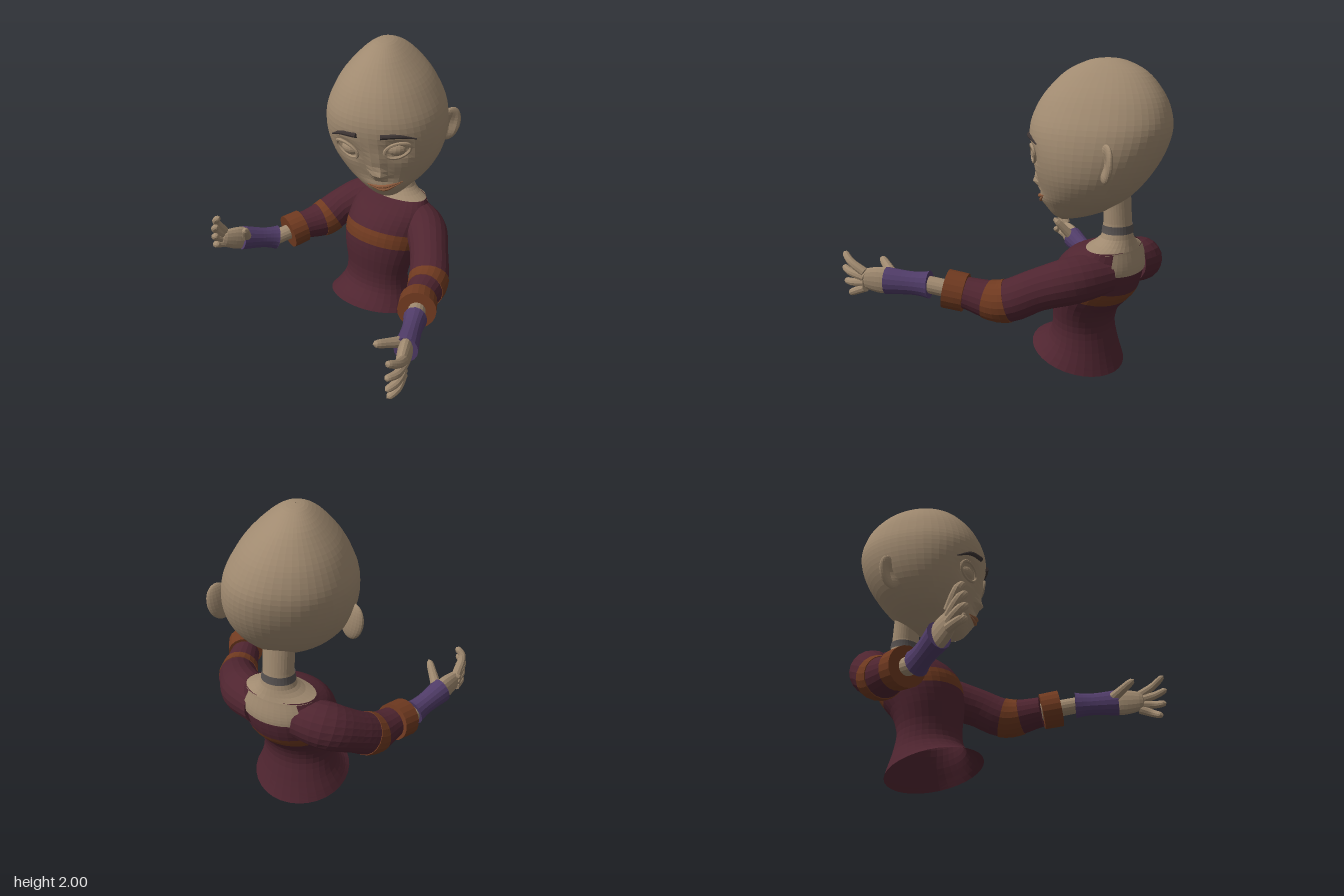
import * as THREE from 'three';

const V = (x, y, z) => new THREE.Vector3(x, y, z);
const paint = (color) => new THREE.MeshStandardMaterial({ color, flatShading: true, side: THREE.DoubleSide });
const skin = paint(0xa08a70), wool = paint(0x4f2530), rust = paint(0x703a20);
const purple = paint(0x503c68), dark = paint(0x3c3433), grey = paint(0x565150), lip = paint(0x8c5a3c);

// Smooth interpolation through rows of numbers, t from 0 to 1
function sample(rows, t) {
  const n = rows.length - 1, i = Math.min(n - 1, Math.floor(t * n)), u = t * n - i;
  const [a, b, c, d] = [rows[Math.max(0, i - 1)], rows[i], rows[i + 1], rows[Math.min(n, i + 2)]];
  return b.map((_, k) => b[k] + 0.5 * u * (c[k] - a[k]
    + u * (2 * a[k] - 5 * b[k] + 4 * c[k] - d[k] + u * (3 * (b[k] - c[k]) + d[k] - a[k]))));
}

// Surface between rings of points; closed joins each ring's ends
function loft(rings, closed = true) {
  const m = rings[0].length, index = [];
  for (let i = 0; i < rings.length - 1; i++)
    for (let j = 0; j < (closed ? m : m - 1); j++) {
      const a = i * m + j, b = i * m + (j + 1) % m;
      index.push(a, b, a + m, b, b + m, a + m);
    }
  const g = new THREE.BufferGeometry().setFromPoints(rings.flat());
  g.setIndex(index);
  g.computeVertexNormals();
  return g;
}

// Capped tube of varying radius along a curve
function limb(points, radii, { t0 = 0, t1 = 1, grow = 0, flat = 1, up = V(0, 1, 0), round = false, sides = 16, steps = 12 } = {}) {
  const curve = new THREE.CatmullRomCurve3(points), rows = radii.map((r) => [r]), rings = [];
  for (let k = -1; k <= steps + 1; k++) {
    const s = Math.min(Math.max(k / steps, 0), 1), t = t0 + (t1 - t0) * s;
    let r = sample(rows, t)[0] + grow;
    if (round && s > 0.8) r *= Math.sqrt(Math.max(0, 1 - ((s - 0.8) / 0.2) ** 2));
    if (k < 0 || k > steps) r = 0.0005;
    const p = curve.getPoint(t), d = curve.getTangent(t);
    const n = up.clone().addScaledVector(d, -up.dot(d)).normalize(), b = d.clone().cross(n);
    rings.push(Array.from({ length: sides }, (_, j) => {
      const a = j / sides * Math.PI * 2;
      return p.clone().addScaledVector(n, r * Math.cos(a)).addScaledVector(b, r * flat * Math.sin(a));
    }));
  }
  return loft(rings);
}

// Head profile: height, depth radius, width radius
const headRows = [
  [1, 0.004, 0.004], [1.04, 0.12, 0.1], [1.1, 0.215, 0.185], [1.18, 0.28, 0.28], [1.3, 0.35, 0.36], [1.44, 0.41, 0.395],
  [1.58, 0.435, 0.385], [1.7, 0.41, 0.335], [1.81, 0.35, 0.265], [1.92, 0.245, 0.16], [1.985, 0.11, 0.07], [2, 0.002, 0.002]];
const YAW = 0.38, FWD = V(Math.sin(YAW), 0, Math.cos(YAW)), SIDE = V(Math.cos(YAW), 0, -Math.sin(YAW));
const eyes = [{ a: -0.43, y: 1.39, tilt: -0.015 }, { a: 0.43, y: 1.43, tilt: 0.02 }];
const bump = (a, y, a0, y0, sa, sy) => Math.exp(-(((a - a0) / sa) ** 2) - ((y - y0) / sy) ** 2);

// Turned, tilted skull with nose, mouth and eye sockets pushed in or out
function headPoint(a, t, off = 0) {
  const [y, depth, width] = sample(headRows, t), chin = Math.exp((1 - y) / 0.12);
  const pow = (v) => Math.sign(v) * Math.abs(v) ** 0.92;
  let out = off + 0.05 * bump(a, y, 0.08, 1.235, 0.12, 0.035) + 0.022 * bump(a, y, 0.06, 1.31, 0.1, 0.08)
    + 0.025 * bump(a, y, 0.15, 1.14, 0.4, 0.045);
  for (const e of eyes) out -= 0.028 * bump(a, y, e.a, e.y, 0.22, 0.06);
  return V(-0.08 - 0.09 * (y - 1) + 0.1 * chin, y, -0.41 - 0.04 * (y - 1) + 0.15 * chin)
    .addScaledVector(FWD, depth * pow(Math.cos(a)) + out * Math.cos(a))
    .addScaledVector(SIDE, width * pow(Math.sin(a)) + out * Math.sin(a));
}

// Point on the face at an angle and height
function facePoint(a, y, off = 0) {
  let lo = 0, hi = 1;
  for (let i = 0; i < 30; i++) {
    const mid = (lo + hi) / 2;
    if (sample(headRows, mid)[0] < y) lo = mid; else hi = mid;
  }
  return headPoint(a, lo, off);
}

// Body profiles: front y, front z, back y, back z, half width
const torsoRows = [
  [0.17, 0, 0, -0.59, 0.32], [0.195, -0.07, 0.06, -0.57, 0.295], [0.26, -0.14, 0.17, -0.54, 0.255],
  [0.36, -0.16, 0.29, -0.52, 0.24], [0.5, -0.155, 0.4, -0.55, 0.265], [0.62, -0.16, 0.49, -0.63, 0.29],
  [0.72, -0.19, 0.57, -0.69, 0.295], [0.82, -0.29, 0.72, -0.72, 0.29], [0.87, -0.42, 0.85, -0.695, 0.23]];
const neckRows = [
  [0.865, -0.41, 0.84, -0.7, 0.235], [0.9, -0.46, 0.89, -0.685, 0.14],
  [0.965, -0.495, 0.965, -0.67, 0.1], [1.18, -0.49, 1.18, -0.65, 0.1]];
function body(rows, t0, t1, { grow = 0, a0 = 0, arc = Math.PI * 2, steps = 8, sides = 32 } = {}) {
  const full = arc > 6, rings = [];
  for (let k = 0; k <= steps; k++) {
    const [yf, zf, yb, zb, w] = sample(rows, t0 + (t1 - t0) * k / steps);
    rings.push(Array.from({ length: full ? sides : sides + 1 }, (_, j) => {
      const a = a0 + arc * j / sides, c = Math.cos(a), s = Math.sin(a);
      return V(-0.12 + (w + grow) * s, (yf + yb) / 2 + (yf - yb) / 2 * c, (zf + zb) / 2 + ((zf - zb) / 2 + grow) * c);
    }));
  }
  return loft(rings, full);
}

// Arm poses: fingers fan around reach, then bend by curl
const leftArm = {
  name: 'left', stripe: 0.72,
  sleeve: [V(0, 0.71, -0.58), V(0.19, 0.69, -0.48), V(0.34, 0.635, -0.32), V(0.46, 0.555, -0.15), V(0.55, 0.58, 0.08)],
  wrist: V(0.67, 0.62, 0.28), knuckle: V(0.87, 0.625, 0.69), thumb: [V(0.76, 0.64, 0.5), V(0.69, 0.72, 0.71)],
  reach: V(0.3, 0, 1), fan: 0.55, stretch: 0.1, curl: V(-0.04, 0, 0),
};
const rightArm = {
  name: 'right', stripe: 0.66,
  sleeve: [V(-0.25, 0.71, -0.58), V(-0.43, 0.69, -0.56), V(-0.55, 0.62, -0.45), V(-0.62, 0.54, -0.31), V(-0.68, 0.53, -0.14)],
  wrist: V(-0.75, 0.5, 0.07), knuckle: V(-0.91, 0.61, 0.44), thumb: [V(-0.83, 0.57, 0.28), V(-0.72, 0.73, 0.38)],
  reach: V(-0.1, 0.35, 0.9), fan: 0.9, stretch: 0.03, curl: V(0.05, 0.02, -0.01),
};

export function createModel() {
  const model = new THREE.Group();
  const add = (name, geometry, material) => {
    const mesh = new THREE.Mesh(geometry, material);
    mesh.name = name;
    model.add(mesh);
    return mesh;
  };

  // Sweater with its stripe, bare upper back, neck and choker
  add('sweaterLower', body(torsoRows, 0, 0.625, { steps: 14 }), wool);
  add('sweaterStripe', body(torsoRows, 0.625, 0.75, { steps: 3 }), rust);
  add('sweaterUpper', body(torsoRows, 0.75, 1), wool);
  add('upperBack', body(torsoRows, 0.86, 1, { grow: 0.008, a0: Math.PI - 0.75, arc: 1.5, sides: 10 }), skin);
  add('neck', body(neckRows, 0, 1), skin);
  add('choker', body(neckRows, 0.63, 0.73, { grow: 0.006 }), grey);

  // Head
  add('head', loft(Array.from({ length: 45 }, (_, i) =>
    Array.from({ length: 52 }, (_, j) => headPoint((j / 26 - 1) * Math.PI, i / 44)))), skin);

  // Eyes with lid rims
  for (const e of eyes) {
    const ball = add('eyeball', new THREE.SphereGeometry(0.085, 20, 14), skin);
    ball.scale.y = 0.72;
    ball.position.copy(facePoint(e.a, e.y, -0.055));
    const rim = Array.from({ length: 14 }, (_, i) => {
      const u = i / 7 * Math.PI;
      return facePoint(e.a + 0.22 * Math.cos(u), e.y + 0.052 * Math.sin(u) + e.tilt * Math.cos(u), 0.008);
    });
    add('eyelid', new THREE.TubeGeometry(new THREE.CatmullRomCurve3(rim, true), 40, 0.011, 6, true), skin);
  }

  // Brows and lips laid along the face
  const stroke = (name, list, radii, material) =>
    add(name, limb(list.map(([a, y]) => facePoint(a, y, 0.002)), radii, { sides: 8 }), material);
  stroke('rightBrow', [[-0.76, 1.455], [-0.48, 1.505], [-0.17, 1.52]], [0.004, 0.014, 0.017], dark);
  stroke('leftBrow', [[0.17, 1.53], [0.45, 1.535], [0.76, 1.505]], [0.017, 0.014, 0.004], dark);
  stroke('upperLip', [[-0.25, 1.14], [0.14, 1.146], [0.6, 1.175]], [0.003, 0.013, 0.003], lip);
  stroke('lowerLip', [[-0.2, 1.132], [0.17, 1.122], [0.55, 1.165]], [0.003, 0.013, 0.003], lip);

  // Dished ears
  for (const [name, side, x, y, z] of [['leftEar', 1, 0.195, 1.43, -0.69], ['rightEar', -1, -0.505, 1.34, -0.4]]) {
    const g = new THREE.SphereGeometry(1, 20, 16).scale(0.08, 0.118, 0.032), p = g.attributes.position;
    for (let i = 0; i < p.count; i++)
      if (p.getZ(i) > 0) p.setZ(i, p.getZ(i) - 0.036 * bump(p.getX(i), p.getY(i), 0, 0, 0.045, 0.075));
    g.computeVertexNormals();
    const ear = add(name, g, skin);
    ear.position.set(x, y, z);
    ear.rotation.set(0, YAW + 0.66 * side, -0.2 * side, 'YXZ');
  }

  // Arms: sleeve, stripe, cuff, forearm, fingerless glove and hand
  for (const { name, stripe, sleeve, wrist, knuckle, thumb, reach, fan, stretch, curl } of [leftArm, rightArm]) {
    const end = sleeve[4], radii = [0.13, 0.145, 0.13, 0.13, 0.1], sides = 20;
    const span = (a, b, t0, t1) => [a.clone().lerp(b, t0), a.clone().lerp(b, t1)];
    add(name + 'Sleeve', limb(sleeve, radii, { steps: 18, sides }), wool);
    add(name + 'SleeveStripe', limb(sleeve, radii, { t0: stripe, t1: stripe + 0.14, grow: 0.004, steps: 4, sides }), rust);
    add(name + 'Cuff', limb(span(end, wrist, 0.02, 0.55), [0.12, 0.122], { steps: 2, sides }), rust);
    add(name + 'Forearm', limb(span(end, wrist, 0, 1.1), [0.058, 0.054], { steps: 3 }), skin);
    add(name + 'Glove', limb(span(wrist, knuckle, 0, 0.63), [0.09, 0.075, 0.088], { flat: 0.82 }), purple);
    add(name + 'Palm', limb(span(wrist, knuckle, 0.5, 1.03), [0.07, 0.088, 0.06], { flat: 0.5, round: true }), skin);
    const digit = { up: V(1, 0, 0), round: true, sides: 10 };
    add(name + 'Thumb', limb(thumb, [0.042, 0.032, 0.024], digit), skin);
    for (let i = 0; i < 4; i++) {
      const angle = fan - 0.33 * i, size = 1 - 0.07 * i;
      const root = knuckle.clone().add(V(0, 0.045 - 0.033 * i, -0.03));
      const dir = reach.clone().multiplyScalar(Math.cos(angle)).add(V(0, Math.sin(angle), 0));
      const mid = root.clone().addScaledVector(dir, 0.11 * size);
      const tip = mid.clone().addScaledVector(dir, stretch * size).add(curl);
      add(name + 'Finger' + (i + 1), limb([root, mid, tip], [0.03, 0.025, 0.021], digit), skin);
    }
  }
  return model;
}
